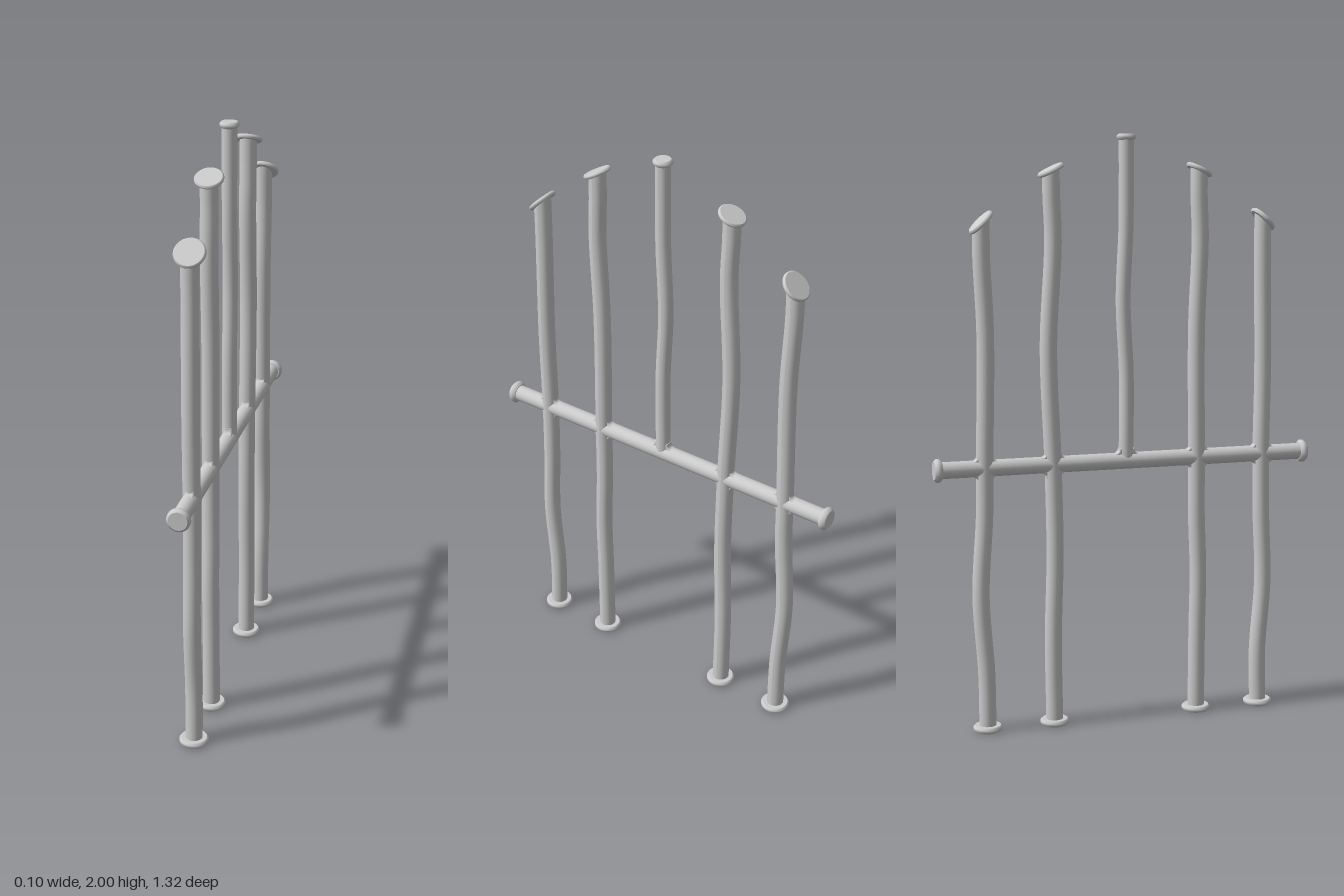
import * as THREE from 'three';

const mat = new THREE.MeshStandardMaterial({ color: 0xcccccc, side: THREE.DoubleSide });
const RAIL_Y = 0.905;

function add(parent, geometry, name) {
  const mesh = new THREE.Mesh(geometry, mat);
  mesh.name = name;
  parent.add(mesh);
  return mesh;
}

// Disc with slightly rounded rims, centred on its own origin
function disc(radius, height) {
  const h = height / 2, b = height * 0.3;
  const profile = [[0, -h], [radius - b, -h], [radius - b, -h], [radius, -h + b],
    [radius, h - b], [radius - b, h], [radius - b, h], [0, h]];
  return new THREE.LatheGeometry(profile.map(p => new THREE.Vector2(...p)), 32);
}

// Slightly wavy upright; its top is sheared to meet a tilted cap
function poleGeometry(points, radius, tilt) {
  const curve = new THREE.CatmullRomCurve3(points.map(([z, y]) => new THREE.Vector3(0, y, z)));
  const geo = new THREE.TubeGeometry(curve, 64, radius, 20);
  const pos = geo.attributes.position;
  const [topZ, topY] = points[points.length - 1];
  for (let i = 0; i < pos.count; i++) {
    const k = THREE.MathUtils.clamp((pos.getY(i) - topY + 0.1) / 0.1, 0, 1);
    pos.setY(i, pos.getY(i) - k * Math.tan(tilt) * (pos.getZ(i) - topZ));
  }
  geo.computeVertexNormals();
  return geo;
}

// Concave four-pointed web that fills the corners of a crossing
function webGeometry(lower) {
  const r = 0.026, e = 0.045;
  const s = new THREE.Shape();
  s.moveTo(r, e);
  s.quadraticCurveTo(r, r, e, r);
  s.lineTo(e, -r);
  if (lower) {
    s.quadraticCurveTo(r, -r, r, -e);
    s.lineTo(-r, -e);
    s.quadraticCurveTo(-r, -r, -e, -r);
  } else s.lineTo(-e, -r);
  s.lineTo(-e, r);
  s.quadraticCurveTo(-r, r, -r, e);
  const geo = new THREE.ExtrudeGeometry(s, {
    depth: 0.016, curveSegments: 8, bevelEnabled: true,
    bevelThickness: 0.007, bevelSize: 0.004, bevelOffset: -0.004, bevelSegments: 3,
  });
  return geo.translate(0, 0, -0.008).rotateY(Math.PI / 2);
}

export function createModel() {
  const model = new THREE.Group();
  model.name = 'poleRack';

  // Uprights: path as [z, y], cap tilt and cap radius
  const poles = [
    { name: 'frontOuterPole', tilt: 0.78, cap: 0.051, path: [[0.493, 0.01], [0.49, 0.2], [0.507, 0.45],
      [0.498, 0.7], [0.495, 0.905], [0.498, 1.2], [0.492, 1.6], [0.492, 1.715]] },
    { name: 'frontInnerPole', tilt: 0.46, cap: 0.047, path: [[0.26, 0.01], [0.262, 0.3], [0.265, 0.5],
      [0.258, 0.7], [0.257, 0.905], [0.254, 1.35], [0.265, 1.65], [0.26, 1.8], [0.26, 1.882]] },
    { name: 'middlePole', tilt: 0, cap: 0.032, path: [[0.002, 0.905], [0.003, 1.2], [-0.008, 1.45],
      [0.002, 1.7], [0.003, 1.85], [0.003, 1.99]] },
    { name: 'backInnerPole', tilt: -0.46, cap: 0.047, path: [[-0.255, 0.01], [-0.258, 0.3], [-0.25, 0.6],
      [-0.255, 0.905], [-0.268, 1.3], [-0.25, 1.65], [-0.255, 1.8], [-0.256, 1.882]] },
    { name: 'backOuterPole', tilt: -0.78, cap: 0.051, path: [[-0.49, 0.01], [-0.492, 0.2], [-0.508, 0.47],
      [-0.492, 0.75], [-0.49, 0.905], [-0.482, 1.35], [-0.492, 1.6], [-0.492, 1.715]] },
  ];

  for (const p of poles) {
    const group = new THREE.Group();
    group.name = p.name;
    model.add(group);
    const middle = p.tilt === 0;
    add(group, poleGeometry(p.path, middle ? 0.025 : 0.029, p.tilt), 'pole');

    // Top cap
    const [topZ, topY] = p.path[p.path.length - 1];
    const cap = add(group, disc(p.cap, middle ? 0.02 : 0.014), 'topCap');
    cap.position.set(0, topY, topZ);
    cap.rotation.x = p.tilt;

    // Foot flange
    if (!middle) add(group, disc(0.05, 0.02), 'foot').position.set(0, 0.01, p.path[0][0]);

    // Blended crossing with the rail
    const crossing = p.path.find(q => q[1] === RAIL_Y);
    add(group, webGeometry(!middle), 'joint').position.set(0, RAIL_Y, crossing[0]);
  }

  // Horizontal rail with end caps
  const rail = add(model, new THREE.CylinderGeometry(0.028, 0.028, 1.29, 24), 'rail');
  rail.rotation.x = Math.PI / 2;
  rail.position.y = RAIL_Y;
  for (const side of [1, -1]) {
    const end = add(model, disc(0.039, 0.026), 'railEndCap');
    end.rotation.x = Math.PI / 2;
    end.position.set(0, RAIL_Y, side * 0.648);
  }
  return model;
}
